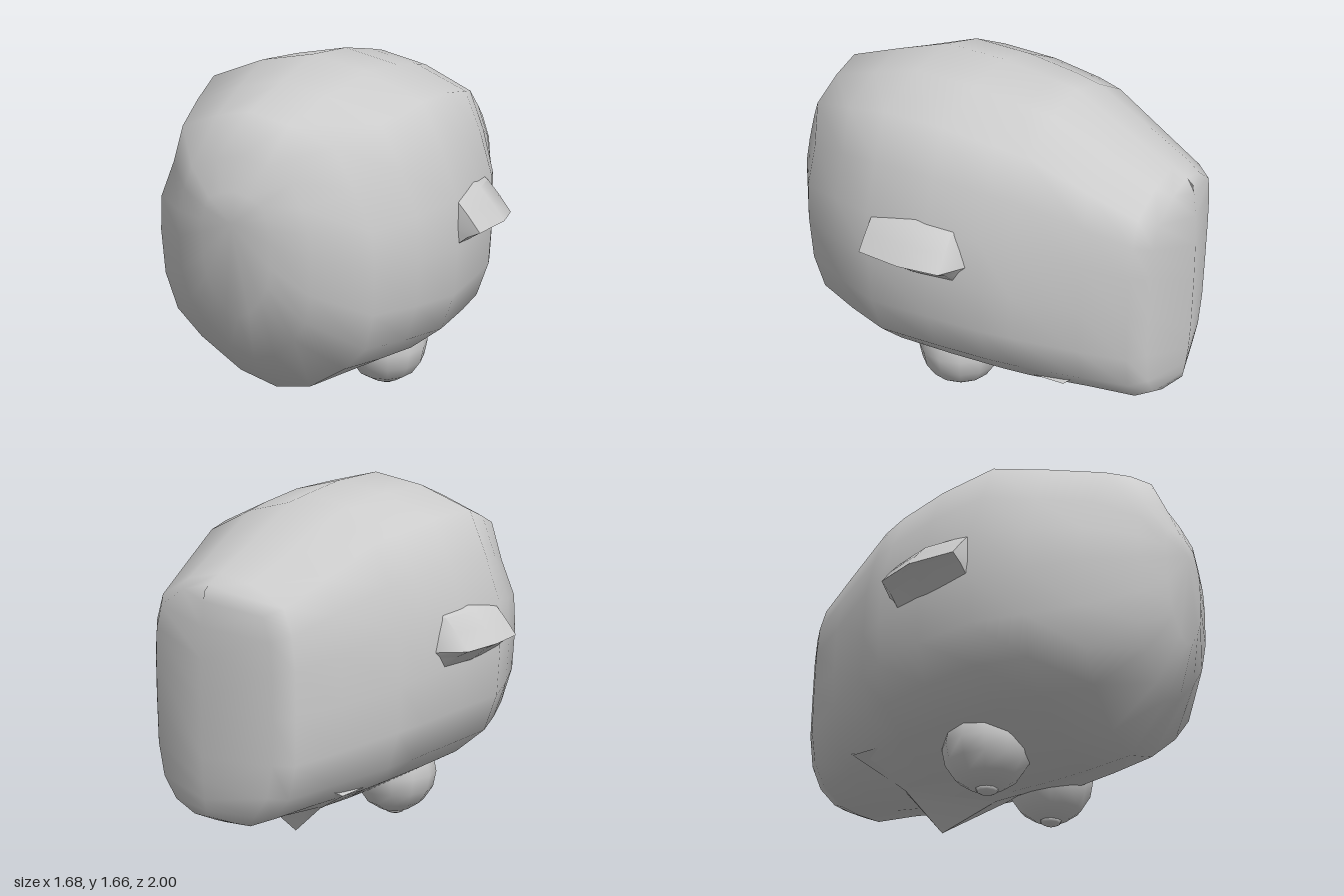
import * as THREE from 'three';
import { mergeVertices, toCreasedNormals } from 'three/addons/utils/BufferGeometryUtils.js';

const grey = new THREE.MeshStandardMaterial({ color: 0xcccccc, side: THREE.DoubleSide });

// Skins rings of points (counterclockwise from the front, ordered front to back) and caps both ends
function loft(rings) {
  const n = rings[0].length;
  const last = (rings.length - 1) * n;
  const index = [];
  for (let j = 0; j < rings.length - 1; j++) {
    for (let i = 0; i < n; i++) {
      const a = j * n + i, b = j * n + (i + 1) % n;
      index.push(a, a + n, b, b, a + n, b + n);
    }
  }
  for (let i = 1; i < n - 1; i++) {
    index.push(0, i, i + 1, last, last + i + 1, last + i);
  }
  const geo = new THREE.BufferGeometry();
  geo.setAttribute('position', new THREE.Float32BufferAttribute(rings.flat(2), 3));
  geo.setIndex(index);
  const merged = mergeVertices(geo, 1e-4);
  merged.computeVertexNormals();
  return merged;
}

function part(name, geometry) {
  const mesh = new THREE.Mesh(geometry, grey);
  mesh.name = name;
  return mesh;
}

// Half outlines of the body section, bottom to top: round belly and boxier rear
const ROUND = [[0, -1], [0.34, -0.93], [0.69, -0.73], [0.9, -0.55], [0.985, -0.3], [1, 0],
  [0.985, 0.29], [0.88, 0.55], [0.75, 0.805], [0.37, 0.935], [0, 1]];
const BOXY = [[0, -1], [0.36, -0.99], [0.69, -0.89], [0.9, -0.7], [0.99, -0.4], [1, 0],
  [1, 0.35], [0.97, 0.6], [0.87, 0.79], [0.46, 0.94], [0, 1]];

// zTop, zMid and zBottom let a ring bend; boxUp and boxDown blend each half from round to boxy
function bodyRing([zTop, zMid, zBottom, w, top, mid, bottom, boxUp, boxDown]) {
  const half = ROUND.map(([rx, ry], i) => {
    const box = ry > 0 ? boxUp : boxDown;
    const x = THREE.MathUtils.lerp(rx, BOXY[i][0], box);
    const s = THREE.MathUtils.lerp(ry, BOXY[i][1], box);
    const y = mid + s * (s > 0 ? top - mid : mid - bottom);
    const z = s > 0 ? zMid + s ** 4 * (zTop - zMid) : zMid + s * s * (zBottom - zMid);
    return [x * w, y, z];
  });
  // round the shoulders of the dome
  const mirrored = half.slice(1, -1).reverse().map(([x, y, z]) => [-x, y, z]);
  return [...half, ...mirrored];
}

function bodyGeometry() {
  return loft([
    // domed front
    [1, 1, 1, 0, 1.07, 1.07, 1.07, 0, 0],
    [0.965, 0.97, 0.965, 0.17, 1.2, 1.0, 0.64, 0, 0],
    [0.91, 0.915, 0.85, 0.33, 1.34, 0.94, 0.4, 0, 0],
    [0.835, 0.75, 0.66, 0.545, 1.515, 0.88, 0.18, -0.5, 0],
    // belly
    [0.57, 0.52, 0.45, 0.64, 1.59, 0.86, 0.155, -0.2, 0],
    [0.3, 0.29, 0.27, 0.72, 1.66, 0.85, 0.14, 0, 0],
    [0, 0, 0, 0.7, 1.635, 0.84, 0.13, 0, 0.03],
    [-0.25, -0.25, -0.25, 0.66, 1.585, 0.81, 0.13, 0.1, 0.1],
    [-0.38, -0.38, -0.38, 0.61, 1.555, 0.79, 0.135, 0.2, 0.25],
    // tapering rear
    [-0.65, -0.65, -0.65, 0.49, 1.4, 0.73, 0.165, 0.6, 0.6],
    [-0.86, -0.85, -0.85, 0.4, 1.285, 0.7, 0.175, 0.9, 0.9],
    [-0.93, -0.92, -0.92, 0.33, 1.245, 0.7, 0.205, 1, 1],
    // upright closing ridge
    [-0.96, -0.995, -0.97, 0, 1.22, 0.5, 0.23, 1, 1],
  ].map(bodyRing));
}

// Side flap: slopes out to a thin edge and tucks back underneath
function flapGeometry() {
  const rings = [[0.278, 0.71, 0.94], [0.27, 0.815, 0.94], [0.05, 0.84, 0.935], [-0.13, 0.8, 0.92], [-0.19, 0.66, 0.91]]
    .map(([z, tip, y]) => [
      [tip - 0.22, y - 0.14, z],
      [tip - 0.12, y - 0.08, z],
      [tip - 0.06, y - 0.03, z],
      [tip, y, z],
      [tip - 0.06, y + 0.075, z],
      [tip - 0.12, y + 0.14, z],
      [tip - 0.22, y + 0.2, z],
    ]);
  return toCreasedNormals(loft(rings), 0.9);
}

// V-shaped hull under the belly, stepping up to the tail at its swept-back rear edge
function keelGeometry() {
  const rings = [
    // z and height of the centre, then the inner and the outer points
    [[0.1, 0.15], [0.2, 0.2, 0.1], [0.4, 0.32, 0.1]],
    [[-0.05, 0.1], [0.2, 0.175, -0.08], [0.44, 0.31, -0.1]],
    [[-0.35, 0], [0.2, 0.165, -0.42], [0.43, 0.3, -0.56]],
    [[-0.39, 0.13], [0.19, 0.21, -0.47], [0.38, 0.34, -0.62]],
  ].map(([[z, tip], [x1, y1, z1], [x2, y2, z2]]) => [
    [-x2, y2, z2], [-x1, y1, z1], [0, tip, z], [x1, y1, z1], [x2, y2, z2], [0, 0.45, z],
  ]);
  return toCreasedNormals(loft(rings), 0.8);
}

function makeFoot() {
  const foot = new THREE.Group();
  const ball = part('footBall', new THREE.SphereGeometry(1, 12, 8));
  ball.scale.set(0.2, 0.2, 0.205);
  ball.position.set(0.27, 0.245, 0.085);
  const nub = part('footNub', new THREE.SphereGeometry(1, 10, 6));
  nub.scale.set(0.055, 0.025, 0.05);
  nub.position.set(0.27, 0.055, 0.085);
  foot.add(ball, nub);
  return foot;
}

export function createModel() {
  const model = new THREE.Group();
  model.name = 'roundCreature';
  model.add(part('body', bodyGeometry()), part('keel', keelGeometry()));
  for (const [side, sign] of [['left', 1], ['right', -1]]) {
    const flap = part(side + 'Flap', flapGeometry());
    const foot = makeFoot();
    foot.name = side + 'Foot';
    flap.scale.x = foot.scale.x = sign;
    model.add(flap, foot);
  }
  return model;
}
